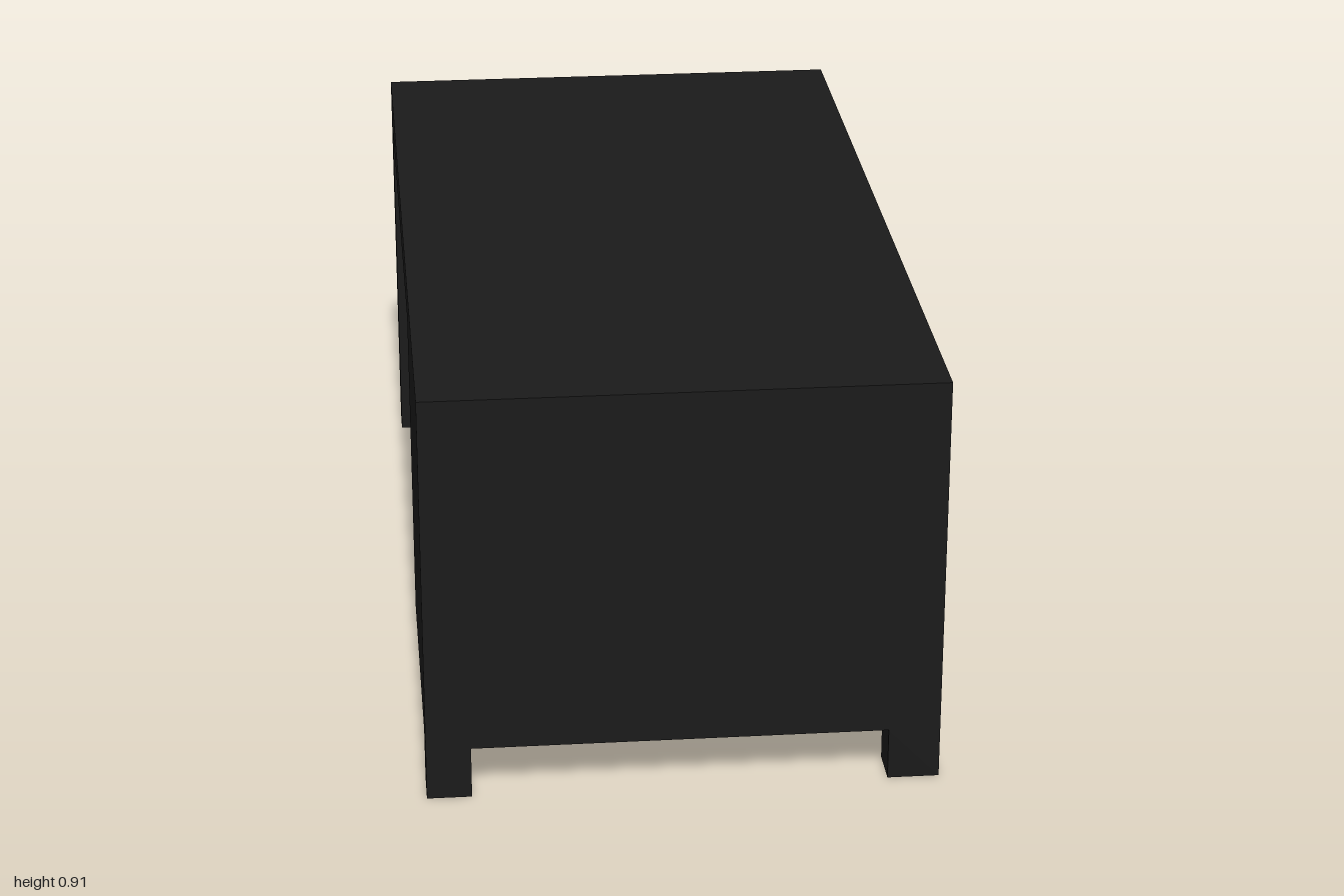
import * as THREE from 'three';

export function createModel() {
  const desk = new THREE.Group();
  desk.name = 'desk';
  const black = new THREE.MeshStandardMaterial({ color: 0x1a1a1a });
  const grey = new THREE.MeshStandardMaterial({ color: 0x808080 });

  const X0 = -0.565, X1 = 0.525, TOP = 0.913, UNDER = 0.823, FOOT = 0.115, THICK = 0.09;

  function add(name, geometry, material) {
    const mesh = new THREE.Mesh(geometry, material);
    mesh.name = name;
    desk.add(mesh);
    return mesh;
  }

  function box(name, x0, x1, y0, y1, z0, z1) {
    add(name, new THREE.BoxGeometry(x1 - x0, y1 - y0, z1 - z0), black)
      .position.set((x0 + x1) / 2, (y0 + y1) / 2, (z0 + z1) / 2);
  }

  // Table top
  box('tableTop', X0, X1, UNDER, TOP, -1, 1);

  // End panels, each cut out at the bottom to leave two feet
  const outline = new THREE.Shape([
    [X0, 0], [-0.47, 0], [-0.47, FOOT], [0.415, FOOT],
    [0.415, 0], [X1, 0], [X1, UNDER], [X0, UNDER],
  ].map(([x, y]) => new THREE.Vector2(x, y)));
  for (const [name, z] of [['frontEndPanel', 1 - THICK], ['backEndPanel', -1]]) {
    const geometry = new THREE.ExtrudeGeometry(outline, { depth: THICK, bevelEnabled: false });
    add(name, geometry, black).position.z = z;
  }

  // Drawer cabinet
  box('drawerCabinet', X0, X1, FOOT, UNDER, 0.335, 1 - THICK);

  // Pointed drawer pulls: plan outline (x, z) extruded upwards
  const plan = new THREE.Shape([
    [X1, 0.485], [0.543, 0.485], [0.565, 0.62], [0.543, 0.755], [X1, 0.755],
  ].map(([x, z]) => new THREE.Vector2(x, -z)));
  for (const [name, y] of [['upperHandle', 0.645], ['lowerHandle', 0.291]]) {
    const geometry = new THREE.ExtrudeGeometry(plan, { depth: 0.027, bevelEnabled: false });
    geometry.rotateX(-Math.PI / 2);
    add(name, geometry, grey).position.y = y;
  }

  return desk;
}
